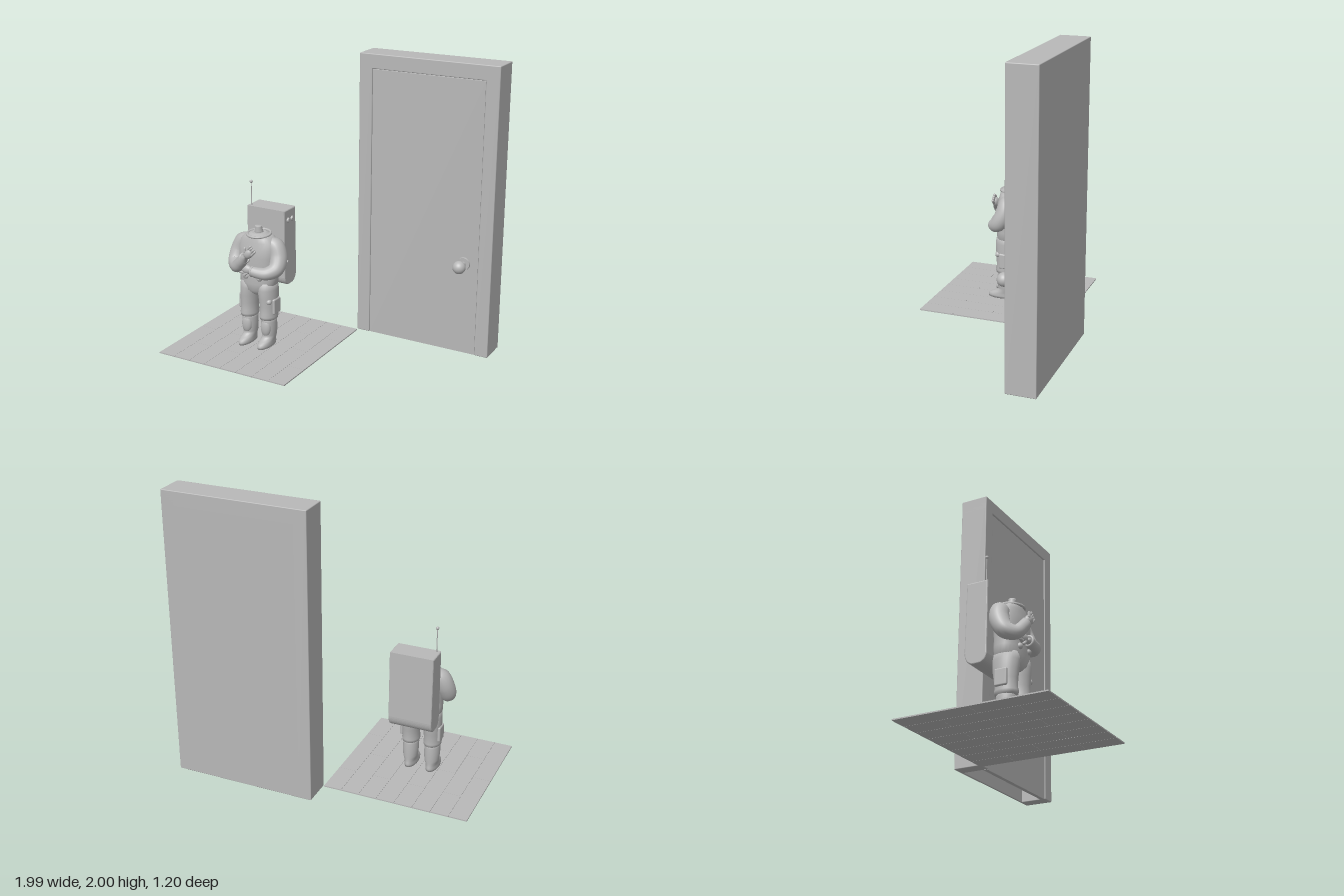
import * as THREE from 'three';
import { RoundedBoxGeometry } from 'three/addons/geometries/RoundedBoxGeometry.js';

const grey = new THREE.MeshStandardMaterial({ color: 0xb8b8b8 });
grey.name = 'plain grey';

function add(parent, name, geometry, x = 0, y = 0, z = 0) {
  const mesh = new THREE.Mesh(geometry, grey);
  mesh.name = name;
  mesh.position.set(x, y, z);
  parent.add(mesh);
  return mesh;
}

// Stack of elliptical rings, bottom to top: [y, x, z, radiusX, radiusZ]
function loft(rows, power = 1, n = 28) {
  const pos = [], idx = [];
  const soft = (v) => Math.sign(v) * Math.abs(v) ** power;
  for (const [y, x, z, rx, rz] of rows) {
    for (let j = 0; j < n; j++) {
      const a = (j / n) * Math.PI * 2;
      pos.push(x + rx * soft(Math.cos(a)), y, z + rz * soft(Math.sin(a)));
    }
  }
  const last = rows.length - 1;
  for (let i = 0; i < last; i++) {
    for (let j = 0; j < n; j++) {
      const k = (j + 1) % n, a = i * n + j, b = i * n + k;
      idx.push(a, a + n, b, b, a + n, b + n);
    }
  }
  const base = rows.length * n;
  pos.push(rows[0][1], rows[0][0], rows[0][2], rows[last][1], rows[last][0], rows[last][2]);
  for (let j = 0; j < n; j++) {
    const k = (j + 1) % n;
    idx.push(base, j, k, base + 1, last * n + k, last * n + j);
  }
  const g = new THREE.BufferGeometry();
  g.setAttribute('position', new THREE.Float32BufferAttribute(pos, 3));
  g.setIndex(idx);
  g.computeVertexNormals();
  return g;
}

// Tube of changing thickness through points [x, y, z, radius]
function limb(points, segments = 30) {
  const curve = new THREE.CatmullRomCurve3(points.map(([x, y, z]) => new THREE.Vector3(x, y, z)));
  const g = new THREE.TubeGeometry(curve, segments, 1, 18);
  const p = g.attributes.position, nrm = g.attributes.normal;
  for (let v = 0; v < p.count; v++) {
    const u = Math.floor(v / 19) / segments;
    const c = curve.getPointAt(u), t = curve.getUtoTmapping(u) * (points.length - 1);
    const i = Math.min(Math.floor(t), points.length - 2);
    const r = THREE.MathUtils.lerp(points[i][3], points[i + 1][3], t - i);
    p.setXYZ(v, c.x + nrm.getX(v) * r, c.y + nrm.getY(v) * r, c.z + nrm.getZ(v) * r);
  }
  return g;
}

function makeDoor() {
  const door = new THREE.Group();
  door.name = 'door';
  // Frame: two posts, a lintel and a back sheet, hollow underneath
  for (const x of [0.0475, 0.9425]) add(door, 'doorPost', new RoundedBoxGeometry(0.095, 1.99, 0.2, 2, 0.006), x, 1.005, -0.5);
  add(door, 'lintel', new RoundedBoxGeometry(0.99, 0.1, 0.2, 2, 0.006), 0.495, 1.95, -0.5);
  add(door, 'frameBack', new RoundedBoxGeometry(0.99, 1.99, 0.014, 2, 0.005), 0.495, 1.005, -0.593);
  add(door, 'doorPanel', new THREE.BoxGeometry(0.796, 1.885, 0.03), 0.495, 0.9525, -0.422);
  // Knob on its round plate
  const plate = add(door, 'knobPlate', new THREE.CylinderGeometry(0.043, 0.045, 0.014, 32), 0.793, 0.655, -0.402);
  const neck = add(door, 'knobNeck', new THREE.CylinderGeometry(0.018, 0.018, 0.06, 20), 0.793, 0.655, -0.375);
  plate.rotation.x = neck.rotation.x = Math.PI / 2;
  add(door, 'knob', new THREE.SphereGeometry(0.044, 32, 20), 0.793, 0.655, -0.325);
  return door;
}

function makeFloor() {
  const floor = new THREE.Group();
  floor.name = 'plankFloor';
  // Eight columns with staggered joints
  for (let c = 0; c < 8; c++) {
    const cuts = c % 2 ? [-0.4, -0.15, 0.35, 0.6] : [-0.4, 0.1, 0.6];
    for (let i = 0; i + 1 < cuts.length; i++) {
      const length = cuts[i + 1] - cuts[i];
      add(floor, 'plank', new THREE.BoxGeometry(0.1235, 0.008, length - 0.0015),
        -0.9375 + c * 0.125, 0.004, cuts[i] + length / 2);
    }
  }
  return floor;
}

function makeBackpack() {
  const pack = new THREE.Group();
  pack.name = 'backpack';
  const s = new THREE.Shape();
  s.moveTo(0, 0.945);
  s.lineTo(0, 0.47);
  s.quadraticCurveTo(-0.005, 0.42, -0.05, 0.418);
  s.lineTo(-0.09, 0.418);
  s.quadraticCurveTo(-0.135, 0.43, -0.138, 0.49);
  s.lineTo(-0.132, 0.945);
  s.closePath();
  const body = new THREE.ExtrudeGeometry(s, { depth: 0.284, bevelSize: 0.008, bevelThickness: 0.008, bevelSegments: 3, curveSegments: 10 });
  body.rotateY(-Math.PI / 2).translate(0.142, 0, 0);
  add(pack, 'packBody', body);
  // Side valves
  for (const [y, z, r] of [[0.88, -0.04, 0.018], [0.88, -0.09, 0.018], [0.585, -0.02, 0.012]]) {
    const valve = add(pack, 'valve', new THREE.CylinderGeometry(r * 0.8, r, 0.016, 18), 0.154, y, z);
    valve.rotation.z = -Math.PI / 2;
  }
  // Antenna
  add(pack, 'antennaRod', new THREE.CylinderGeometry(0.003, 0.004, 0.17, 8), -0.125, 1.03, -0.015);
  add(pack, 'antennaTip', new THREE.SphereGeometry(0.011, 14, 10), -0.125, 1.12, -0.015);
  return pack;
}

function makeHand(name, x, y, z, angle) {
  const hand = new THREE.Group();
  hand.name = name;
  add(hand, 'palm', new THREE.SphereGeometry(1, 20, 14)).scale.set(0.042, 0.032, 0.024);
  for (let i = 0; i < 4; i++) {
    const finger = add(hand, 'finger', new THREE.CapsuleGeometry(0.0095, 0.035, 4, 10), 0.036, 0.024 - i * 0.016, 0.006);
    finger.rotation.z = -Math.PI / 2;
  }
  const thumb = add(hand, 'thumb', new THREE.CapsuleGeometry(0.01, 0.025, 4, 10), 0.005, 0.032, 0.012);
  thumb.rotation.z = -0.8;
  hand.position.set(x, y, z);
  hand.rotation.z = angle;
  return hand;
}

function makeSuit() {
  const suit = new THREE.Group();
  suit.name = 'spaceSuit';
  // Torso and hips
  add(suit, 'torso', loft([
    [0.375, 0, 0.1, 0.03, 0.055], [0.41, 0, 0.1, 0.105, 0.083], [0.46, 0, 0.1, 0.137, 0.09],
    [0.51, 0, 0.098, 0.14, 0.09], [0.57, 0, 0.098, 0.138, 0.09], [0.65, 0, 0.098, 0.145, 0.094],
    [0.71, 0, 0.094, 0.148, 0.09], [0.755, 0, 0.09, 0.135, 0.082], [0.782, 0, 0.09, 0.11, 0.078],
    [0.798, 0, 0.09, 0.08, 0.07]], 0.85));
  // Helmet seat and the stub of the neck
  const ring = add(suit, 'neckRing', new THREE.TorusGeometry(0.08, 0.009, 12, 40), 0, 0.8, 0.092);
  ring.rotation.x = Math.PI / 2 + 0.06;
  add(suit, 'collar', new THREE.CylinderGeometry(0.05, 0.08, 0.014, 36), 0, 0.805, 0.092);
  add(suit, 'neck', loft([[0.79, 0, 0.088, 0.036, 0.036], [0.82, 0, 0.093, 0.028, 0.029],
    [0.85, 0, 0.097, 0.023, 0.024], [0.858, 0, 0.098, 0.023, 0.023]], 1, 20));

  for (const side of [-1, 1]) {
    // Trouser leg, cuff, boot
    const x = side * 0.077;
    add(suit, 'trouserLeg', loft([
      [0.195, x, 0.107, 0.045, 0.055], [0.205, x, 0.107, 0.058, 0.074], [0.225, x, 0.108, 0.061, 0.077],
      [0.25, x, 0.106, 0.057, 0.072], [0.3, x, 0.103, 0.06, 0.076], [0.36, x * 0.96, 0.1, 0.064, 0.084],
      [0.42, x * 0.9, 0.1, 0.067, 0.088], [0.47, x * 0.85, 0.1, 0.066, 0.08]]));
    add(suit, 'boot', loft([
      [0.008, x, 0.14, 0.042, 0.1], [0.024, x, 0.14, 0.044, 0.102], [0.038, x, 0.137, 0.042, 0.096],
      [0.052, x, 0.122, 0.043, 0.078], [0.068, x, 0.106, 0.045, 0.062], [0.085, x, 0.104, 0.05, 0.06],
      [0.14, x, 0.105, 0.054, 0.063], [0.185, x, 0.106, 0.052, 0.062], [0.22, x, 0.106, 0.05, 0.06]]));
    add(suit, 'shinPad', new THREE.SphereGeometry(1, 20, 14), x, 0.14, 0.15).scale.set(0.038, 0.065, 0.025);
    add(suit, 'thighPocket', new RoundedBoxGeometry(0.022, 0.11, 0.085, 3, 0.01), side * 0.134, 0.3, 0.1);
    add(suit, 'waistValve', new THREE.SphereGeometry(0.021, 18, 12), side * 0.053, 0.51, 0.18);
  }
  add(suit, 'thighValve', new THREE.SphereGeometry(0.02, 18, 12), 0.112, 0.34, 0.158);

  // Sleeves: shoulder, elbow, forearm folded over the chest
  const sleeve = (s) => [[s * 0.07, 0.75, 0.085, 0.035], [s * 0.125, 0.725, 0.085, 0.062], [s * 0.157, 0.655, 0.1, 0.062],
    [s * 0.16, 0.585, 0.14, 0.055]];
  add(suit, 'rightSleeve', limb([...sleeve(-1), [-0.12, 0.572, 0.188, 0.044], [-0.075, 0.615, 0.208, 0.04],
    [-0.04, 0.655, 0.215, 0.036], [-0.03, 0.664, 0.216, 0.002]], 48));
  add(suit, 'leftSleeve', limb([...sleeve(1), [0.115, 0.558, 0.186, 0.044], [0.06, 0.557, 0.2, 0.039],
    [0.012, 0.563, 0.205, 0.035], [0, 0.564, 0.205, 0.002]], 48));
  const cuffR = add(suit, 'rightCuff', new THREE.TorusGeometry(0.031, 0.009, 10, 24), -0.042, 0.652, 0.214);
  cuffR.rotation.set(-0.85, 0.75, 0);
  const cuffL = add(suit, 'leftCuff', new THREE.TorusGeometry(0.03, 0.009, 10, 24), 0.014, 0.563, 0.205);
  cuffL.rotation.y = Math.PI / 2;
  suit.add(makeHand('rightHand', -0.008, 0.69, 0.217, 0.8));
  suit.add(makeHand('leftHand', -0.035, 0.565, 0.195, Math.PI));
  return suit;
}

export function createModel() {
  const model = new THREE.Group();
  model.name = 'astronautAtDoor';
  const astronaut = new THREE.Group();
  astronaut.name = 'astronaut';
  astronaut.add(makeSuit(), makeBackpack());
  astronaut.position.x = -0.5;
  model.add(makeFloor(), makeDoor(), astronaut);
  return model;
}
